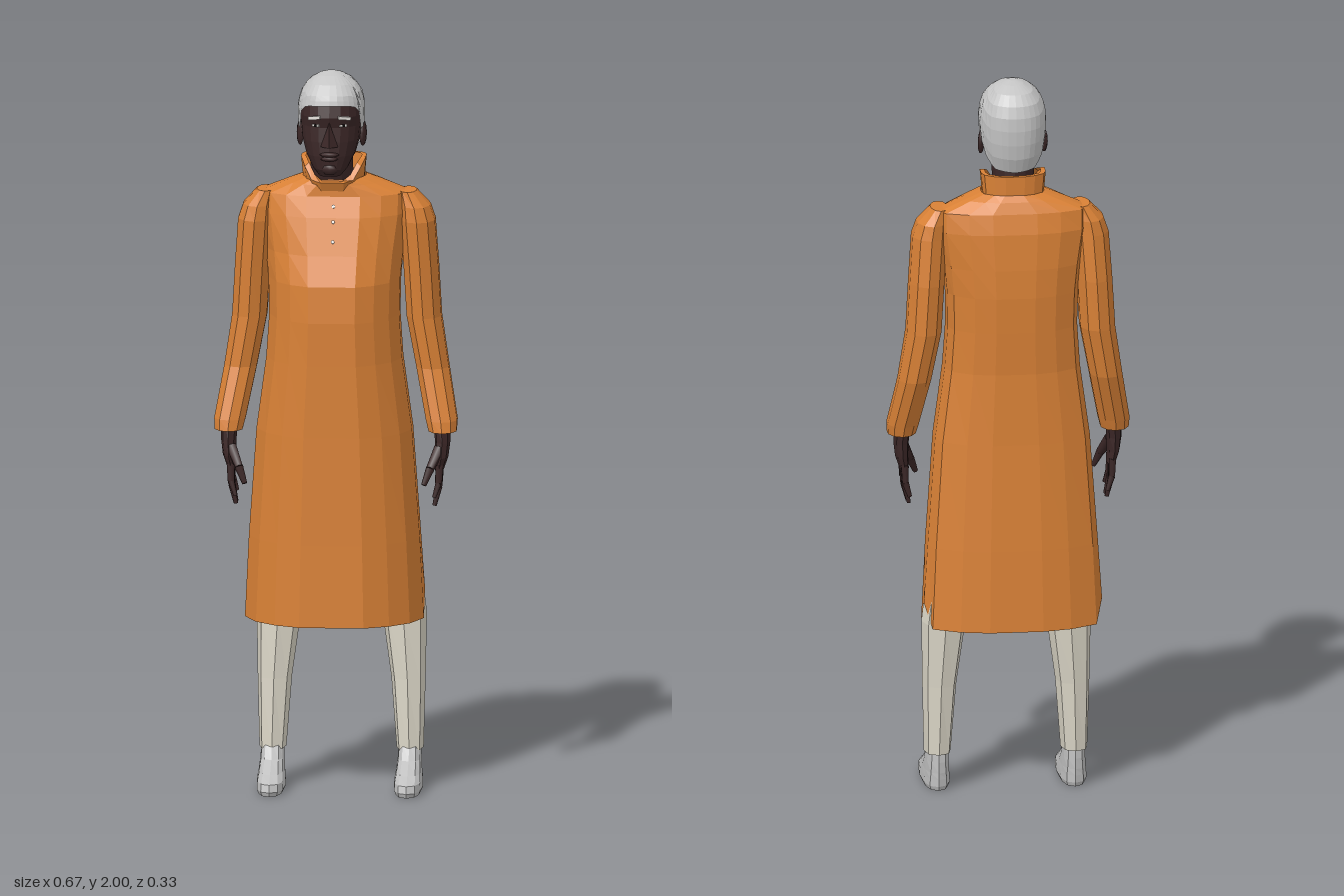
import * as THREE from 'three';

const material = (name, color, side = THREE.FrontSide) => {
  const m = new THREE.MeshStandardMaterial({ color, side });
  m.name = name;
  return m;
};

// Faceted skin over closed rings listed bottom to top, each running front -> +x -> back -> -x
function loft(rings, capBottom = false, capTop = false) {
  const pos = [];
  const tri = (...pts) => pts.forEach((p) => pos.push(p.x, p.y, p.z));
  const n = rings[0].length;
  for (let r = 0; r < rings.length - 1; r++) {
    const lo = rings[r], hi = rings[r + 1];
    for (let i = 0; i < n; i++) {
      const j = (i + 1) % n;
      tri(lo[i], lo[j], hi[i]);
      tri(lo[j], hi[j], hi[i]);
    }
  }
  const cap = (ring, up) => {
    const c = ring.reduce((s, p) => s.add(p), new THREE.Vector3()).divideScalar(n);
    ring.forEach((p, i) => (up ? tri(c, p, ring[(i + 1) % n]) : tri(c, ring[(i + 1) % n], p)));
  };
  if (capBottom) cap(rings[0], false);
  if (capTop) cap(rings[rings.length - 1], true);
  const g = new THREE.BufferGeometry();
  g.setAttribute('position', new THREE.Float32BufferAttribute(pos, 3));
  g.computeVertexNormals();
  return g;
}

// Rounded ring at height y, centred on (cx, cz)
const oval = (y, cx, cz, rx, rz, n = 10, power = 1) =>
  Array.from({ length: n }, (_, i) => {
    const a = (i / n) * Math.PI * 2, s = Math.sin(a), c = Math.cos(a);
    const f = (v) => Math.sign(v) * Math.abs(v) ** power;
    return new THREE.Vector3(cx + rx * f(s), y, cz + rz * f(c));
  });

// Robe section: half outline as fractions of half width and half depth, mirrored
const HALF = [[0, 1], [0.36, 1], [0.64, 0.8], [0.86, 0.5], [1, 0.03], [1, -0.4], [0.92, -0.67], [0.62, -0.9], [0.3, -1], [0, -1]];
const SECTION = [...HALF, ...HALF.slice(1, -1).reverse().map(([x, z]) => [-x, z])];
const robeRing = (y, w, front, back, cx = -0.005) =>
  SECTION.map(([x, z]) => new THREE.Vector3(cx + x * w, y, (front + back) / 2 + (z * (front - back)) / 2));

// Linear lookup in a table of [key, ...values]
function lookup(table, key) {
  let i = 1;
  while (i < table.length - 1 && table[i][0] < key) i++;
  const a = table[i - 1], b = table[i];
  const t = THREE.MathUtils.clamp((key - a[0]) / (b[0] - a[0]), 0, 1);
  return a.slice(1).map((v, k) => v + (b[k + 1] - v) * t);
}

// Head and hair profiles: height, half width, front z, back z
const HEAD_X = -0.012;
const HEAD = [[1.722, 0.03, 0.112, 0.05], [1.742, 0.048, 0.125, 0], [1.78, 0.068, 0.13, -0.05], [1.82, 0.079, 0.128, -0.07],
  [1.86, 0.083, 0.124, -0.08], [1.888, 0.085, 0.132, -0.084], [1.93, 0.083, 0.122, -0.083], [1.97, 0.058, 0.085, -0.055]];
const HAIR = [[1.755, 0.07, 0.11, -0.068], [1.8, 0.083, 0.125, -0.086], [1.86, 0.091, 0.13, -0.096], [1.91, 0.092, 0.133, -0.095],
  [1.945, 0.084, 0.124, -0.087], [1.975, 0.064, 0.093, -0.06], [1.992, 0.038, 0.06, -0.025], [2, 0.012, 0.03, 0.005]];
const HAIRLINE = [[0, 1.922], [0.75, 1.918], [1, 1.9], [1.2, 1.842], [1.4, 1.852], [1.6, 1.862], [1.95, 1.8], [2.3, 1.765], [3.15, 1.757]];

function profilePoint(table, y, a) {
  const [w, f, b] = lookup(table, y);
  const s = Math.sin(a), c = Math.cos(a);
  return new THREE.Vector3(
    HEAD_X + w * Math.sign(s) * Math.abs(s) ** 0.85, y,
    (f + b) / 2 + ((f - b) / 2) * Math.sign(c) * Math.abs(c) ** 0.85);
}

export function createModel() {
  const model = new THREE.Group();
  model.name = 'standingFigure';
  const orange = material('orange cloth', 0xd98136, THREE.DoubleSide);
  const cream = material('cream cloth', 0xdad5c6, THREE.DoubleSide);
  const skin = material('dark skin', 0x3a2626);
  const grey = material('grey hair', 0xc4c4c4, THREE.DoubleSide);
  const shoeGrey = material('shoe grey', 0xc0c0c0);
  const white = material('white', 0xeeeae4);
  const black = material('black', 0x120d0d);

  const add = (name, geometry, mat, parent = model) => {
    const mesh = new THREE.Mesh(geometry, mat);
    mesh.name = name;
    parent.add(mesh);
    return mesh;
  };

  // Tapered round piece between two points
  const limb = (name, a, b, ra, rb, mat, parent, sides = 6) => {
    const p = new THREE.Vector3(...a), q = new THREE.Vector3(...b);
    const d = q.clone().sub(p);
    const m = add(name, new THREE.CylinderGeometry(rb, ra, d.length(), sides), mat, parent);
    m.position.copy(p).add(q).multiplyScalar(0.5);
    m.quaternion.setFromUnitVectors(new THREE.Vector3(0, 1, 0), d.normalize());
    return m;
  };

  // Long robe, with the hem lifted at each side into a slit
  const robe = [
    [0.472, 0.245, 0.16, -0.166], [0.7, 0.234, 0.157, -0.157], [1.0, 0.213, 0.154, -0.143], [1.2, 0.186, 0.155, -0.137],
    [1.32, 0.178, 0.156, -0.143], [1.42, 0.18, 0.148, -0.147], [1.5, 0.188, 0.116, -0.145], [1.6, 0.203, 0.08, -0.138],
    [1.655, 0.203, 0.056, -0.125], [1.685, 0.13, 0.054, -0.112], [1.702, 0.085, 0.052, -0.1],
  ].map((r) => robeRing(...r));
  [5, SECTION.length - 5].forEach((i) => { robe[0][i].y = 0.535; });
  add('robe', loft(robe), orange);

  // Standing collar, lower at the throat
  const collar = [[1.69, 0.083, 0.055, -0.1], [1.735, 0.089, 0.066, -0.1], [1.735, 0.076, 0.052, -0.088]]
    .map((r) => robeRing(...r, -0.008));
  collar.forEach((ring, k) => ring.forEach((p) => {
    const front = THREE.MathUtils.smoothstep(p.z, 0, 0.06);
    p.y += k ? 0.02 - front * 0.06 : -front * 0.02;
  }));
  add('collar', loft(collar), orange);

  // Chest buttons
  [[1.63, 0.068], [1.59, 0.085], [1.538, 0.104]].forEach(([y, z]) => {
    const b = add('button', new THREE.CylinderGeometry(0.005, 0.005, 0.006, 8), white);
    b.position.set(-0.004, y, z);
    b.rotation.x = 1.2;
  });

  for (const side of [1, -1]) {
    const label = side > 0 ? 'left' : 'right';

    // Sleeve
    const sleeve = [
      [1.0, 0.293, 0.02, 0.04, 0.054], [1.03, 0.29, 0.012, 0.045, 0.056], [1.17, 0.263, -0.035, 0.047, 0.06],
      [1.31, 0.239, -0.045, 0.05, 0.07], [1.45, 0.231, -0.042, 0.05, 0.076], [1.58, 0.222, -0.033, 0.05, 0.076],
      [1.62, 0.215, -0.035, 0.043, 0.07], [1.66, 0.195, -0.038, 0.025, 0.05],
    ].map(([y, cx, cz, rx, rz]) => oval(y, side * cx, cz, rx, rz, 10));
    add(label + 'Sleeve', loft(sleeve, false, true), orange);

    // Hand: palm, four fingers and a thumb
    const hand = new THREE.Group();
    hand.name = label + 'Hand';
    model.add(hand);
    const palm = [[0.895, 0.284, 0.03, 0.013, 0.04], [0.93, 0.291, 0.03, 0.018, 0.043], [0.97, 0.293, 0.025, 0.021, 0.037], [1.04, 0.29, 0.015, 0.024, 0.03]]
      .map(([y, cx, cz, rx, rz]) => oval(y, side * cx, cz, rx, rz, 8));
    add('palm', loft(palm, true, true), skin, hand);
    [[0.06, 0.073, 0.822], [0.041, 0.05, 0.796], [0.02, 0.02, 0.797], [0, -0.007, 0.822]].forEach(([z0, z1, tip]) => {
      const mid = [side * 0.284, (0.9 + tip) / 2, (z0 + z1) / 2];
      limb('fingerBase', [side * 0.286, 0.91, z0], mid, 0.011, 0.0095, skin, hand);
      limb('fingerTip', mid, [side * 0.272, tip, z1], 0.0095, 0.006, skin, hand);
    });
    limb('thumbBase', [side * 0.285, 0.955, 0.05], [side * 0.262, 0.905, 0.085], 0.016, 0.012, skin, hand);
    limb('thumbTip', [side * 0.262, 0.905, 0.085], [side * 0.245, 0.862, 0.102], 0.012, 0.007, skin, hand);

    // Trouser leg
    const x = (cx) => side * cx + 0.0125;
    const leg = [[0.105, 0.188, -0.037, 0.037, 0.057], [0.3, 0.183, -0.045, 0.047, 0.058], [0.48, 0.172, -0.053, 0.061, 0.063], [0.95, 0.095, -0.02, 0.085, 0.085]]
      .map(([y, cx, cz, rx, rz]) => oval(y, x(cx), cz, rx, rz, 8, 0.8));
    add(label + 'TrouserLeg', loft(leg, true, true), cream);

    // Shoe: height, half width, toe z, heel z
    const shoe = [[0, 0.035, 0.163, -0.08], [0.012, 0.04, 0.168, -0.085], [0.032, 0.039, 0.16, -0.085], [0.05, 0.036, 0.108, -0.084], [0.08, 0.033, 0.045, -0.082], [0.12, 0.031, 0.012, -0.078]]
      .map(([y, w, f, b]) => oval(y, x(0.188), (f + b) / 2, w, (f - b) / 2, 12, 0.8));
    add(label + 'Shoe', loft(shoe, true, true), shoeGrey);
  }

  // Neck and head
  const neck = [[1.6, -0.035, 0.062], [1.68, -0.015, 0.06], [1.74, 0, 0.058], [1.82, 0.005, 0.058]]
    .map(([y, cz, r]) => oval(y, HEAD_X, cz, r, r, 12));
  add('neck', loft(neck), skin);
  const angles = Array.from({ length: 20 }, (_, i) => (i / 20) * Math.PI * 2);
  add('head', loft(HEAD.map(([y]) => angles.map((a) => profilePoint(HEAD, y, a))), true, true), skin);

  // Hair rises from the hairline to the crown
  const hairAngles = Array.from({ length: 32 }, (_, i) => (i / 32) * Math.PI * 2);
  const hairRings = [0, 0.17, 0.34, 0.51, 0.66, 0.79, 0.9, 0.97, 1].map((t) => hairAngles.map((a) => {
    const [start] = lookup(HAIRLINE, Math.min(a, Math.PI * 2 - a));
    return profilePoint(HAIR, start + (2 - start) * t, a);
  }));
  add('hair', loft(hairRings, false, true), grey);

  // Nose, lips and chin
  const nose = add('nose', new THREE.ConeGeometry(0.024, 0.068, 4).toNonIndexed(), skin);
  nose.geometry.computeVertexNormals();
  nose.position.set(HEAD_X, 1.842, 0.128);
  [[1.786, 0.027], [1.774, 0.024]].forEach(([y, w]) => {
    const lip = add('lip', new THREE.SphereGeometry(1, 8, 6), skin);
    lip.scale.set(w, 0.007, 0.012);
    lip.position.set(HEAD_X, y, 0.127);
  });
  const chin = add('chin', new THREE.SphereGeometry(1, 8, 6), skin);
  chin.scale.set(0.024, 0.018, 0.016);
  chin.position.set(HEAD_X, 1.745, 0.115);

  // Brows, eyes and ears
  for (const side of [1, -1]) {
    const plate = (name, y, a, w, h, out, mat, tilt = 0) => {
      const m = add(name, new THREE.BoxGeometry(w, h, 0.006), mat);
      m.position.copy(profilePoint(HEAD, y, side * a));
      m.rotation.set(0, side * 0.45, side * tilt, 'YXZ');
      m.translateZ(out);
    };
    plate('brow', 1.888, 0.43, 0.036, 0.009, 0.002, white, -0.12);
    plate('eyeWhite', 1.866, 0.4, 0.021, 0.006, 0, white);
    plate('iris', 1.866, 0.4, 0.007, 0.0065, 0.001, black);
    const ear = add('ear', new THREE.SphereGeometry(1, 8, 6), skin);
    ear.scale.set(0.009, 0.036, 0.02);
    ear.position.set(HEAD_X + side * 0.086, 1.826, 0.012);
    ear.rotation.set(-0.15, side * -0.3, 0);
  }
  return model;
}
